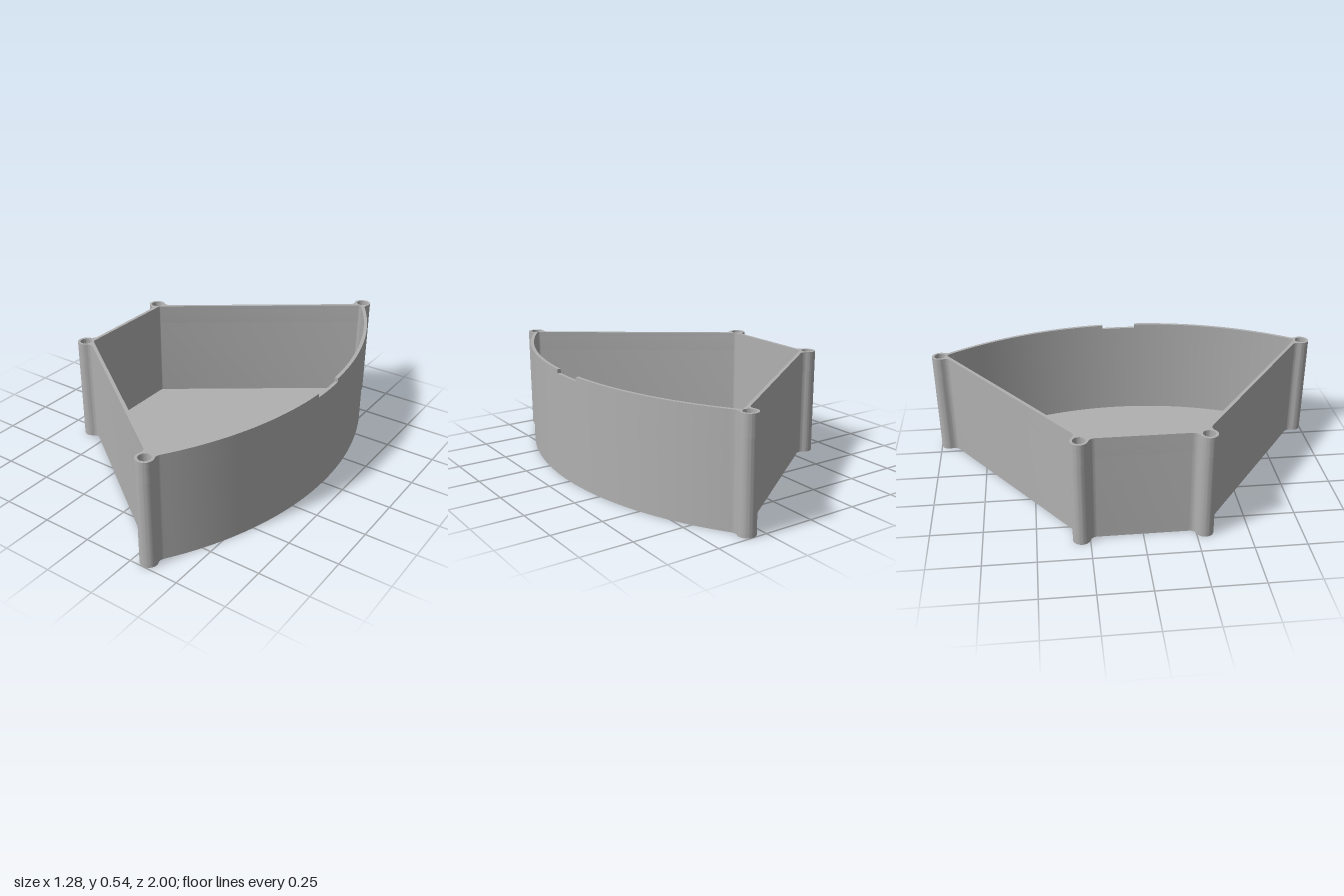
import * as THREE from 'three';
import { toCreasedNormals } from 'three/addons/utils/BufferGeometryUtils.js';

const V = (x, y) => new THREE.Vector2(x, y);
const along = (p, d, t) => p.clone().addScaledVector(d, t);
const polar = (c, r, a) => V(c.x + r * Math.cos(a), c.y + r * Math.sin(a));

// Plan dimensions (half plan; the tray is mirrored across its long axis)
const H = 0.538, FLOOR = 0.018, WALL = 0.017, NOTCH = 0.02, HOLE_DEPTH = 0.1;
const O = V(-0.98, 0), R = 1.62;                 // curved wall
const r = 0.042, rf = 0.033, HOLE_R = 0.029;     // posts and their fillets
const postOuter = V(0.322, 0.958), postInner = V(-0.603, 0.29);
const A = Math.PI / 5;
const side = { p: V(-0.973, 0), d: V(Math.cos(A), Math.sin(A)), n: V(-Math.sin(A), Math.cos(A)) };
const back = { p: V(-0.59, 0), d: V(0, 1), n: V(-1, 0) };

// Points of an arc round c; ccw forces the direction, otherwise the short way
function arc(c, from, to, n, ccw) {
  const rad = from.distanceTo(c);
  const a = Math.atan2(from.y - c.y, from.x - c.x);
  let s = Math.atan2(to.y - c.y, to.x - c.x) - a;
  while (s > Math.PI) s -= 2 * Math.PI;
  while (s < -Math.PI) s += 2 * Math.PI;
  if (ccw && s < 0) s += 2 * Math.PI;
  return Array.from({ length: n + 1 }, (_, i) => polar(c, rad, a + s * i / n));
}

// Fillet between a post and a straight wall: wall point, centre, post point
function lineFillet(c, { p, d, n }, sign) {
  const v = c.clone().sub(p), h = v.dot(n);
  const t = v.dot(d) + sign * Math.sqrt((r + rf) ** 2 - (rf - h) ** 2);
  const wall = along(p, d, t), centre = along(wall, n, rf);
  return { wall, centre, post: c.clone().lerp(centre, r / (r + rf)) };
}

// Fillet between a post and the curved wall
function curveFillet(c) {
  const v = c.clone().sub(O), D = v.length(), q = R + rf;
  const a = v.angle() - Math.acos((q * q + D * D - (r + rf) ** 2) / (2 * q * D));
  const centre = polar(O, q, a);
  return { wall: polar(O, R, a), centre, post: c.clone().lerp(centre, r / (r + rf)) };
}

// Post with a fillet on either side
const post = (c, f, g) => [
  ...arc(f.centre, f.wall, f.post, 8),
  ...arc(c, f.post, g.post, 24, true).slice(1),
  ...arc(g.centre, g.post, g.wall, 8).slice(1),
];

// Both halves, counter-clockwise from +a0 to -a0
function mirrored(half, closed) {
  const other = half.map(p => V(p.x, -p.y)).reverse();
  if (closed) other.pop();
  return [...half, ...other];
}

function outerOutline(a0) {
  const f = curveFillet(postOuter);
  return mirrored([
    ...arc(O, polar(O, R, a0), f.wall, 32).slice(0, -1),
    ...post(postOuter, f, lineFillet(postOuter, side, -1)),
    ...post(postInner, lineFillet(postInner, side, 1), lineFillet(postInner, back, -1)),
  ], a0 === 0);
}

function innerOutline(a0) {
  const Ri = R - WALL, p = along(side.p, side.n, -WALL);
  const m = p.clone().sub(O), md = m.dot(side.d);
  const t1 = -md + Math.sqrt(md * md - m.lengthSq() + Ri * Ri);
  const t2 = (back.p.x + WALL - p.x) / side.d.x;
  const k1 = along(p, side.d, t1), k2 = along(p, side.d, t2);
  const end = polar(O, Ri, k1.clone().sub(O).angle() - 0.008);
  const round = (a, k, b) => new THREE.QuadraticBezierCurve(a, k, b).getPoints(4);
  return mirrored([
    ...arc(O, polar(O, Ri, a0), end, 32).slice(0, -1),
    ...round(end, k1, along(p, side.d, t1 - 0.013)),
    ...round(along(p, side.d, t2 + 0.01), k2, V(k2.x, k2.y - 0.01)),
  ], a0 === 0);
}

const postHoles = () => [postOuter, postInner].flatMap(c => [1, -1].map(s =>
  new THREE.Path().absarc(c.x, s * c.y, HOLE_R, 0, Math.PI * 2)));

export function createModel() {
  const group = new THREE.Group();
  group.name = 'sectorTray';
  const grey = new THREE.MeshStandardMaterial({ color: 0xb0b0b0 });
  grey.name = 'grey';

  const layer = (name, outline, holes, y0, y1) => {
    const shape = new THREE.Shape(outline);
    shape.holes.push(...holes);
    const geo = new THREE.ExtrudeGeometry(shape, { depth: y1 - y0, bevelEnabled: false, curveSegments: 24 });
    geo.rotateX(-Math.PI / 2).translate(0, y0, 0);
    const mesh = new THREE.Mesh(toCreasedNormals(geo, 0.6), grey);
    mesh.name = name;
    group.add(mesh);
  };

  const outer = outerOutline(0);
  const cavity = () => new THREE.Path(innerOutline(0));
  layer('floor', outer, [], 0, FLOOR);
  layer('walls', outer, [cavity()], FLOOR, H - HOLE_DEPTH);
  // Upper wall, with a socket in the top of each post
  layer('upperWalls', outer, [cavity(), ...postHoles()], H - HOLE_DEPTH, H - NOTCH);
  // Rim, left open at the middle of the curved wall to form the notch
  const a0 = 0.09 / R;
  layer('notchedRim', [...outerOutline(a0), ...innerOutline(a0).reverse()], postHoles(), H - NOTCH, H);
  return group;
}
